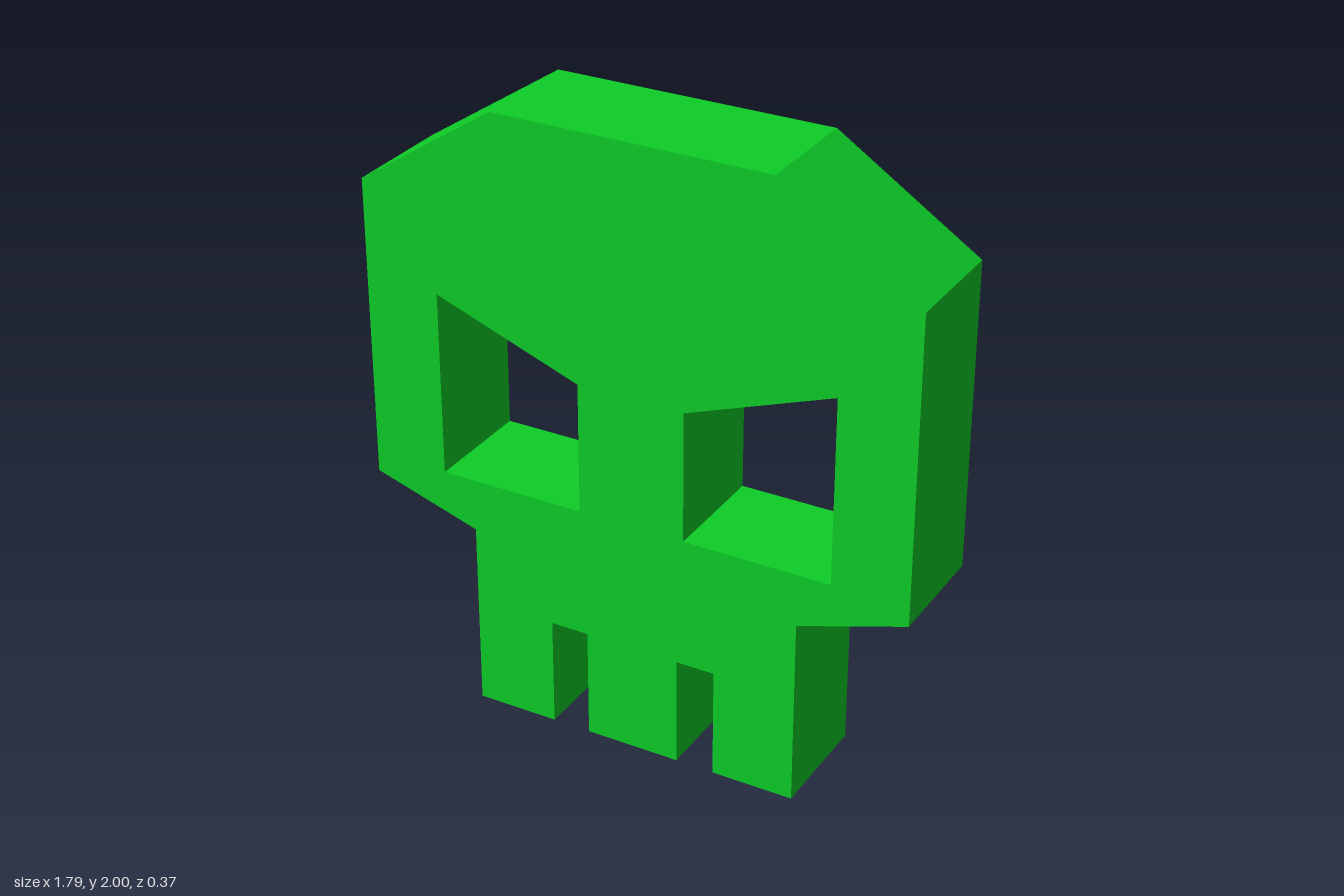
import * as THREE from 'three';

const DEPTH = 0.37;

// Right half of the outline, from the middle of the chin up to the crown
const HALF_OUTLINE = [
  [0.155, 0], [0.155, 0.36], [0.28, 0.36], [0.28, 0], // gap between teeth
  [0.547, 0], [0.547, 0.615], // jaw
  [0.897, 0.725], [0.897, 1.705], [0.447, 2], // cheek, temple, crown
];
const EYE = [[0.175, 0.787], [0.175, 1.212], [0.652, 1.387], [0.652, 0.787]];

const points = (list, side = 1) => list.map(([x, y]) => new THREE.Vector2(x * side, y));

export function createModel() {
  const group = new THREE.Group();
  group.name = 'skull';

  // Mirrored outline with two slanted eye sockets cut through
  const outline = new THREE.Shape([
    ...points(HALF_OUTLINE),
    ...points(HALF_OUTLINE, -1).reverse(),
  ]);
  for (const side of [1, -1]) outline.holes.push(new THREE.Path(points(EYE, side)));

  const geometry = new THREE.ExtrudeGeometry(outline, { depth: DEPTH, bevelEnabled: false });
  geometry.translate(0, 0, -DEPTH / 2);

  const plate = new THREE.Mesh(
    geometry,
    new THREE.MeshStandardMaterial({ color: 0x0dcc27 }),
  );
  plate.name = 'skullPlate';
  group.add(plate);
  return group;
}
